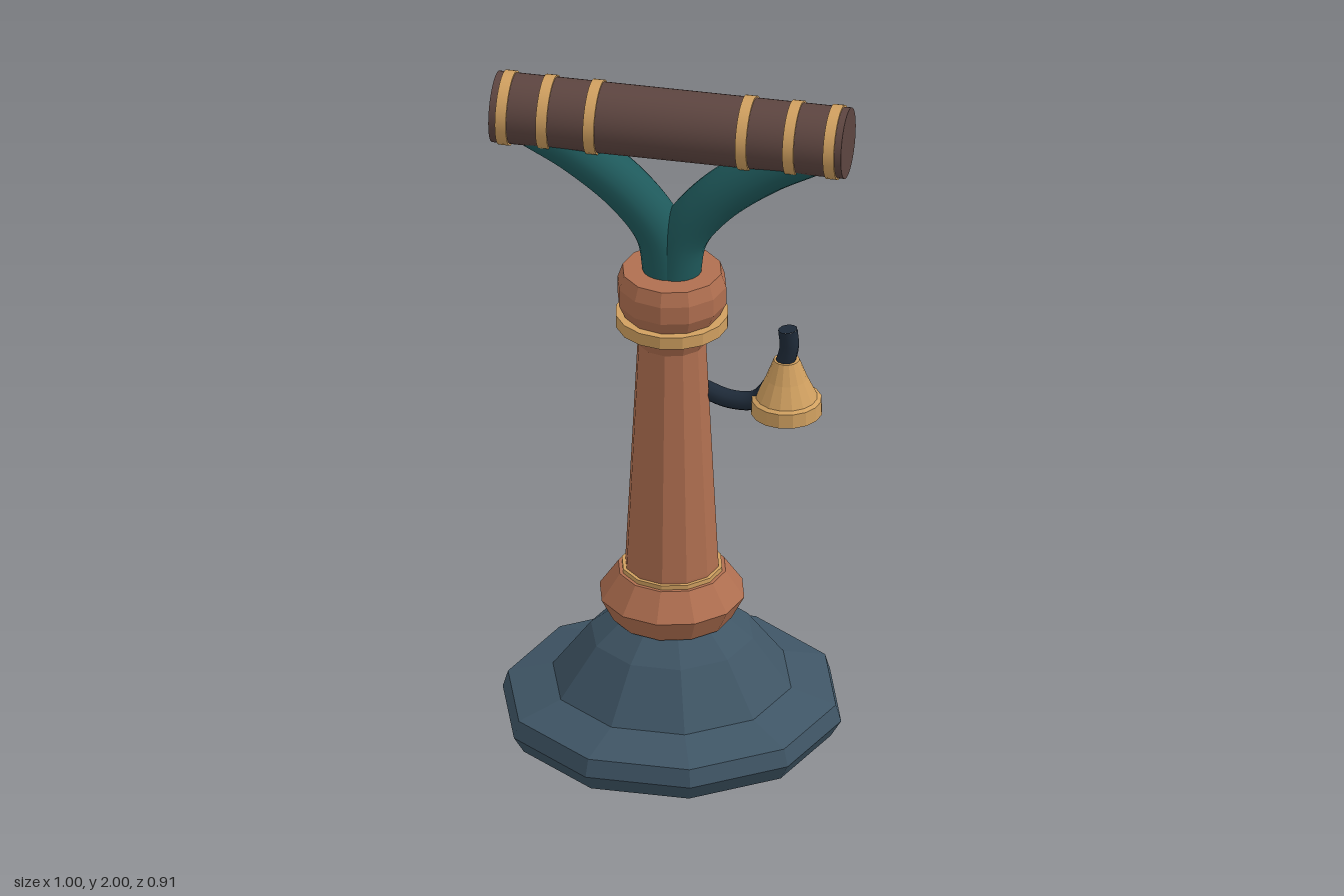
import * as THREE from 'three';

const paint = (name, color) => Object.assign(new THREE.MeshStandardMaterial({ color }), { name });
const slate = paint('slate', 0x3f5565);
const copper = paint('copper', 0xb06f50);
const gold = paint('gold', 0xd0a060);
const brown = paint('brown', 0x5d4540);
const teal = paint('teal', 0x1f5a5c);
const navy = paint('navy', 0x1e2a38);

const mesh = (name, geometry, material) => {
  const m = new THREE.Mesh(geometry, material);
  m.name = name;
  return m;
};

// Faceted turned solid from [radius, y] pairs, closed at both ends
function turned(name, profile, sides, material, start = 0) {
  const closed = [[0, profile[0][1]], ...profile, [0, profile[profile.length - 1][1]]];
  const points = closed.map(([r, y]) => new THREE.Vector2(r, y));
  const geometry = new THREE.LatheGeometry(points, sides, start).toNonIndexed();
  geometry.computeVertexNormals();
  return mesh(name, geometry, material);
}

// Smooth bent pipe through a few points
function pipe(name, path, radius, sides, material) {
  const curve = new THREE.CatmullRomCurve3(path.map((p) => new THREE.Vector3(...p)));
  return mesh(name, new THREE.TubeGeometry(curve, 28, radius, sides), material);
}

// Flat disc that closes a pipe end
function endCap(name, at, direction, radius, sides, material) {
  const cap = mesh(name, new THREE.CircleGeometry(radius, sides), material);
  cap.position.set(...at);
  cap.quaternion.setFromUnitVectors(new THREE.Vector3(0, 0, 1), new THREE.Vector3(...direction).normalize());
  return cap;
}

// Cylinder lying along x
function barrel(name, x, length, radius, material) {
  const m = mesh(name, new THREE.CylinderGeometry(radius, radius, length, 32), material);
  m.rotation.z = Math.PI / 2;
  m.position.set(x, 1.895, 0);
  return m;
}

export function createModel() {
  const model = new THREE.Group();
  model.name = 'pedestal';

  // Ten-sided foot with points on the x axis
  model.add(turned('foot', [
    [0.45, 0], [0.48, 0.05], [0.465, 0.1], [0.338, 0.14], [0.23, 0.285], [0.15, 0.35],
  ], 10, slate, Math.PI / 2));

  // Twelve-sided column with base moulding and neck
  model.add(turned('columnBase', [
    [0.17, 0.345], [0.205, 0.413], [0.152, 0.49],
  ], 12, copper));
  model.add(turned('lowerRing', [[0.142, 0.485], [0.142, 0.503]], 12, gold));
  model.add(turned('column', [
    [0.132, 0.48], [0.132, 0.51], [0.097, 1.21], [0.125, 1.27],
  ], 12, copper));
  model.add(turned('upperRing', [[0.158, 1.266], [0.158, 1.303]], 16, gold));
  model.add(turned('collar', [
    [0.135, 1.3], [0.154, 1.342], [0.154, 1.395], [0.14, 1.436],
  ], 12, copper));

  // Forked arms under the bar
  for (const s of [1, -1]) {
    model.add(pipe(s > 0 ? 'leftArm' : 'rightArm', [
      [0.01 * s, 1.42, 0], [0.033 * s, 1.55, 0], [0.12 * s, 1.67, 0],
      [0.265 * s, 1.785, 0], [0.39 * s, 1.855, 0],
    ], 0.07, 20, teal));
  }

  // Crossbar with three bands on each side
  model.add(barrel('crossbar', 0, 1, 0.1, brown));
  for (const s of [1, -1]) {
    for (const x of [0.465, 0.35, 0.216]) model.add(barrel('band', x * s, 0.031, 0.105, gold));
  }

  // Bell on a bent hook
  const bell = turned('bell', [
    [0.1, 1.012], [0.098, 1.054], [0.086, 1.06], [0.058, 1.12], [0.036, 1.178],
  ], 16, gold);
  bell.position.set(0.322, 0, -0.014);
  model.add(bell);
  model.add(pipe('hook', [
    [0.07, 1.06, -0.02], [0.16, 1.028, -0.022], [0.235, 1.036, -0.02], [0.285, 1.1, -0.016],
    [0.318, 1.17, -0.012], [0.33, 1.22, -0.012], [0.326, 1.275, -0.012],
  ], 0.027, 10, navy));
  model.add(endCap('hookTip', [0.326, 1.275, -0.012], [-0.1, 1, 0], 0.027, 10, navy));

  return model;
}
